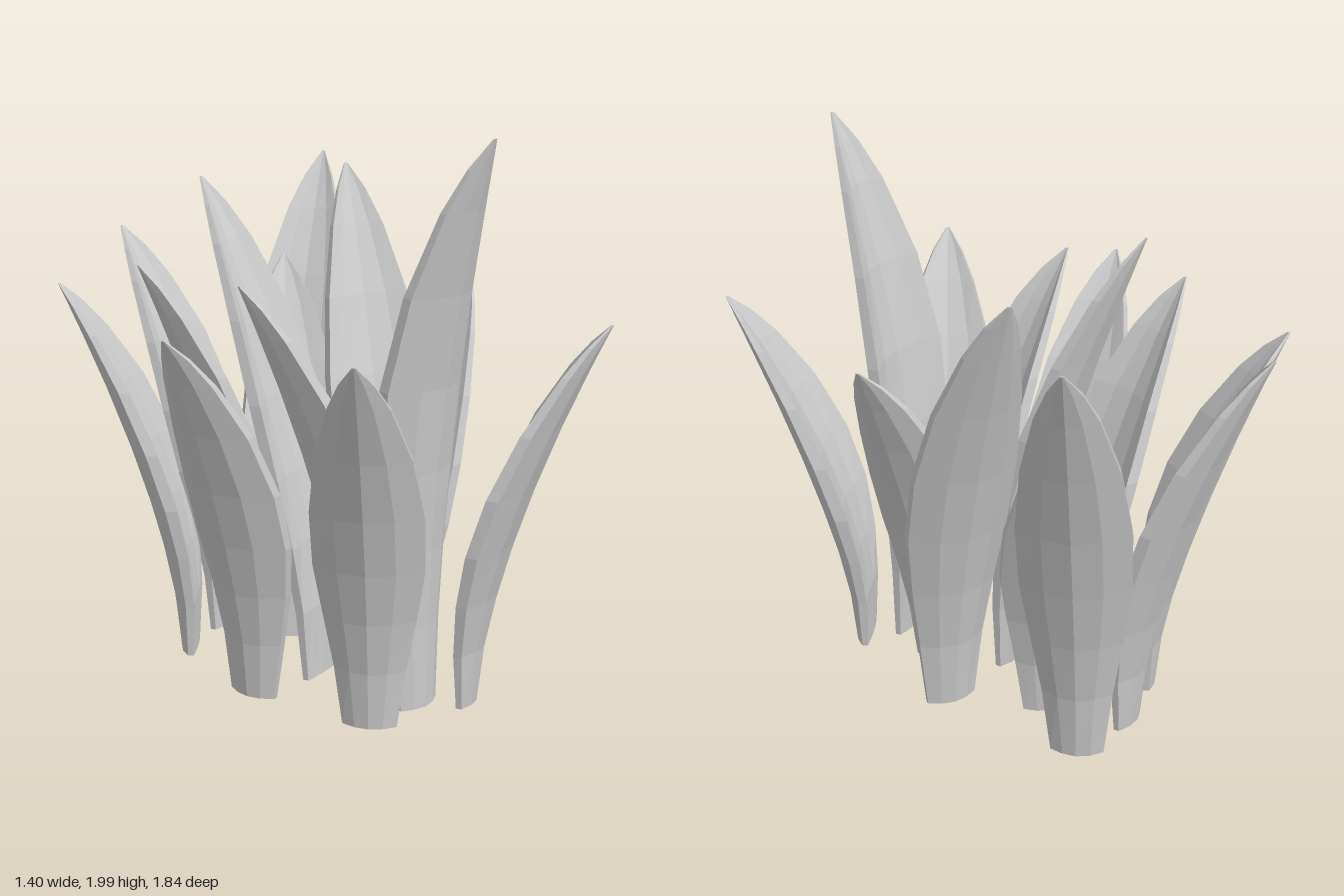
import * as THREE from 'three';

// Blade rows: [fraction of height, half width, cup depth, rim thickness, midrib thickness]
const ROWS = [
  [0, 0.093, 0.035, 0.02, 0.06], [0.15, 0.122, 0.055, 0.03, 0.08], [0.29, 0.157, 0.075, 0.038, 0.088],
  [0.43, 0.187, 0.088, 0.043, 0.09], [0.58, 0.189, 0.09, 0.043, 0.082], [0.74, 0.157, 0.076, 0.038, 0.063],
  [0.88, 0.1, 0.048, 0.027, 0.038], [0.95, 0.055, 0.027, 0.016, 0.02], [1, 0.006, 0.002, 0.006, 0.006],
];
const ACROSS = [-1, -0.52, 0, 0.52, 1];
const BASE_Y = 0.01;

// Leaves: base x, base z, tip x, tip z, height, root offset, bend
const LEAVES = [
  [0.015, -0.45, -0.18, -0.92, 1.5, 0.08, 1.5],
  [0.25, -0.49, 0.7, -0.86, 1.715, 0.06, 1.4],
  [-0.185, -0.32, -0.59, -0.64, 1.38, 0.095, 1.55],
  [0.125, -0.19, 0.36, -0.63, 1.38, 0.095, 1.55],
  [0.37, 0.05, 0.51, -0.44, 1.74, 0.05, 1.4],
  [0.01, -0.17, -0.48, -0.26, 1.5, 0.08, 1.5],
  [0.035, 0.105, -0.16, -0.37, 1.76, 0.05, 1.4],
  [-0.21, 0.1, -0.7, 0.29, 1.38, 0.095, 1.55],
  [0.145, 0.293, -0.37, 0.21, 1.5, 0.08, 1.5],
  [0.19, 0.27, 0.68, 0.11, 1.38, 0.095, 1.55],
  [-0.04, 0.52, -0.39, 0.89, 1.38, 0.09, 1.55],
  [0.15, 0.45, 0.225, 0.78, 2.0, 0.1, 2.5],
  [0.29, 0.53, 0.62, 0.92, 1.38, 0.095, 1.55],
];

// Cupped blade that rises along y and arches towards +z
function leafGeometry(height, reach, root, bend) {
  const n = ACROSS.length, ring = 2 * n, pos = [], index = [];
  const quad = (a, b, c, d) => index.push(a, b, c, a, c, d);

  for (const [t, w, cup, rim, rib] of ROWS) {
    const y = BASE_Y + (height - BASE_Y) * t;
    const mid = root + (reach - root) * Math.pow(t, bend);
    const arch = s => Math.pow(Math.abs(s), 1.9);
    // outer skin left to right, then the flatter inner skin back again
    for (const s of ACROSS) pos.push(s * w, y, mid - cup * arch(s));
    for (const s of [...ACROSS].reverse()) {
      pos.push(s * w * 0.97, y, mid - rib - (cup + rim - rib) * arch(s));
    }
  }
  for (let r = 0; r < ROWS.length - 1; r++) {
    for (let i = 0; i < ring; i++) {
      const j = (i + 1) % ring, a = r * ring, b = a + ring;
      quad(a + i, a + j, b + j, b + i);
    }
  }
  // caps at the root and the tip
  const top = (ROWS.length - 1) * ring;
  for (let i = 0; i < n - 1; i++) {
    const k = ring - 1 - i;
    quad(i, k, k - 1, i + 1);
    quad(top + i, top + i + 1, top + k - 1, top + k);
  }
  const g = new THREE.BufferGeometry();
  g.setAttribute('position', new THREE.Float32BufferAttribute(pos, 3));
  g.setIndex(index);
  const flat = g.toNonIndexed();
  flat.computeVertexNormals();
  return flat;
}

export function createModel() {
  const group = new THREE.Group();
  group.name = 'leafCluster';
  const material = new THREE.MeshStandardMaterial({ color: 0xcccccc, flatShading: true });
  LEAVES.forEach(([bx, bz, tx, tz, height, root, bend], i) => {
    const dx = tx - bx, dz = tz - bz;
    const leaf = new THREE.Mesh(leafGeometry(height, Math.hypot(dx, dz), root, bend), material);
    leaf.name = `leaf${i + 1}`;
    leaf.position.set(bx, 0, bz);
    leaf.rotation.y = Math.atan2(dx, dz);
    group.add(leaf);
  });
  return group;
}
